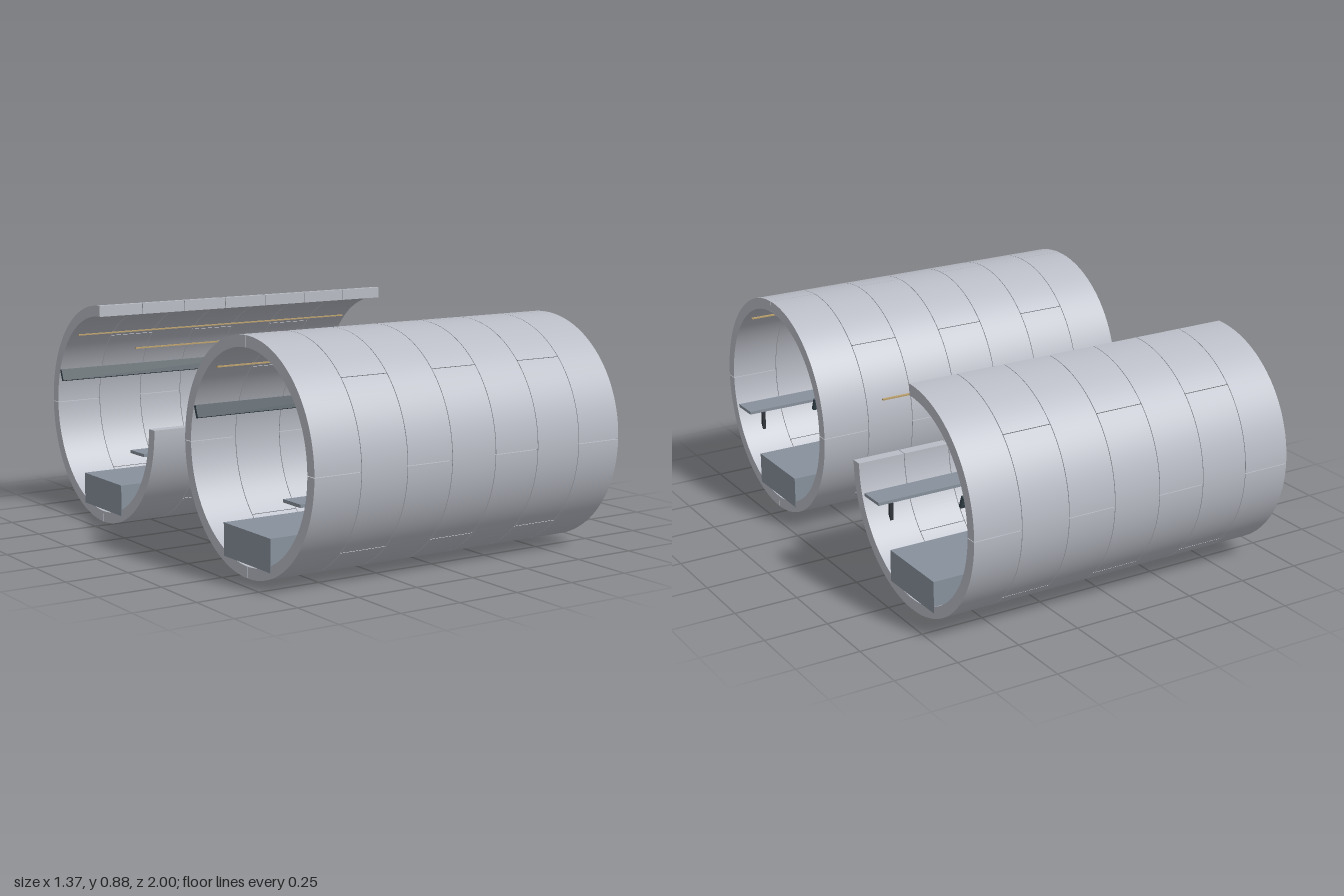
import * as THREE from 'three';
import { toCreasedNormals } from 'three/addons/utils/BufferGeometryUtils.js';

const LENGTH = 1.366, RINGS = 7, STEP = LENGTH / RINGS;
const OUTER = 0.44, INNER = 0.396, CENTRE_Y = 0.443;
const GAP = 0.0026, GAP_ANGLE = GAP / OUTER;

function material(name, color) {
  const m = new THREE.MeshStandardMaterial({ color });
  m.name = name;
  return m;
}

// Curved block in the z-y plane, extruded along x and centred.
// The angle runs from +z towards +y.
function segmentGeometry(start, end) {
  const shape = new THREE.Shape();
  shape.absarc(0, 0, OUTER, start, end, false);
  shape.absarc(0, 0, INNER, end, start, true);
  shape.closePath();
  const width = STEP - GAP;
  const g = new THREE.ExtrudeGeometry(shape, { depth: width, bevelEnabled: false, curveSegments: 24 });
  g.translate(0, 0, -width / 2);
  g.rotateY(-Math.PI / 2);
  return toCreasedNormals(g, 0.5);
}

export function createModel() {
  const concrete = material('concrete', 0xb9bcc5);
  const slab = material('deck grey', 0x88919c);
  const dark = material('dark steel', 0x30353b);
  const trayBlue = material('tray blue', 0x374750);
  const brass = material('wire brass', 0xbba06c);

  const model = new THREE.Group();
  model.name = 'twinTunnels';

  function add(parent, name, geometry, mat, x, y, z) {
    const mesh = new THREE.Mesh(geometry, mat);
    mesh.name = name;
    mesh.position.set(x, y, z);
    parent.add(mesh);
    return mesh;
  }

  function tunnel(name, z, cutaway) {
    const group = new THREE.Group();
    group.name = name;
    group.position.set(0, CENTRE_Y, z);
    model.add(group);

    // Lining of separate blocks with fine joints, staggered from ring to ring
    for (let i = 0; i < RINGS; i++) {
      const offset = (i % 2) * Math.PI / 4;
      for (let k = 0; k < 5; k++) {
        const from = k * Math.PI / 2 + offset - Math.PI / 2;
        const to = from + Math.PI / 2;
        // The closed ring has four blocks; the cutaway trims those at its open quarter
        if (!cutaway && k === 4) continue;
        const start = cutaway ? Math.max(from, Math.PI / 2) : from;
        const end = cutaway ? Math.min(to, Math.PI * 2) : to;
        if (end - start < 0.01) continue;
        add(group, 'liningBlock', segmentGeometry(start + GAP_ANGLE / 2, end - GAP_ANGLE / 2),
          concrete, (i + 0.5) * STEP - LENGTH / 2, 0, 0);
      }
    }

    // Track deck
    add(group, 'trackDeck', new THREE.BoxGeometry(LENGTH, 0.125, 0.32), slab, 0, -0.326, 0);

    // Side walkway on posts
    add(group, 'walkway', new THREE.BoxGeometry(LENGTH, 0.012, 0.11), slab, 0, -0.112, 0.3);
    const post = new THREE.BoxGeometry(0.014, 0.115, 0.012);
    for (let i = 0; i < 4; i++) {
      add(group, 'walkwayPost', post, dark, (2 * i + 0.5) * STEP - LENGTH / 2, -0.173, 0.33);
    }

    // Cable tray on the far wall, its top edge leaning outwards
    const tray = add(group, 'cableTray', new THREE.BoxGeometry(LENGTH, 0.048, 0.013), trayBlue, 0, 0.118, -0.355);
    tray.rotation.x = -0.36;

    // Overhead wires
    const wire = new THREE.BoxGeometry(1.31, 0.005, 0.01);
    for (const side of [-1, 1]) add(group, 'overheadWire', wire, brass, 0, 0.296, side * 0.248);
  }

  tunnel('closedTunnel', 0.56, false);
  tunnel('cutawayTunnel', -0.56, true);
  return model;
}
